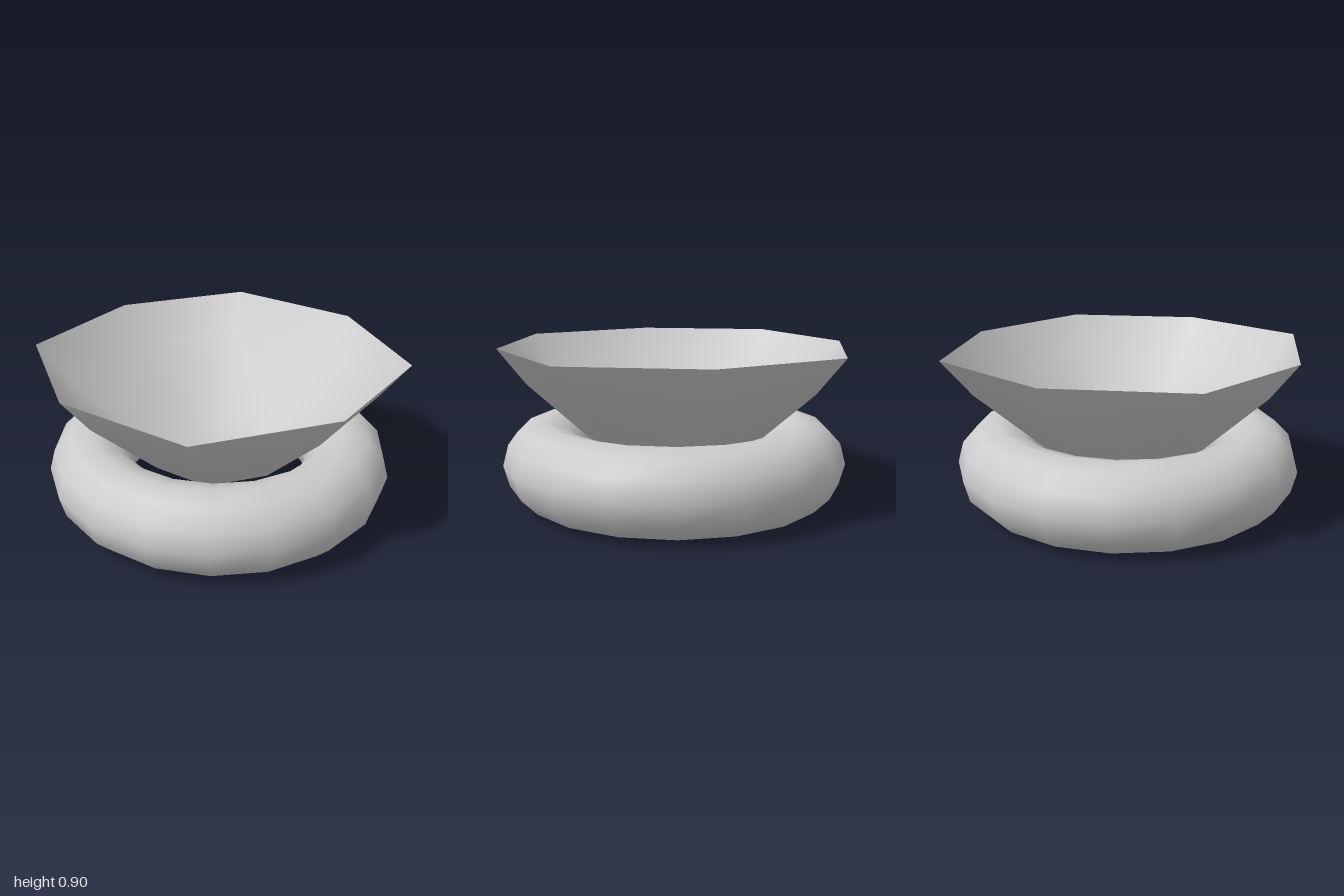
import * as THREE from 'three';

// Thin bowl: eight-sided rings above a single bottom point, corners on the diagonals pushed out
function bowlGeometry() {
  const sides = 8;
  const rings = [[0.44, 0.33], [0.84, 0.70], [1, 0.905]];
  const positions = [0, 0.19, 0];
  const index = [];
  for (const [r, y] of rings) {
    for (let i = 0; i < sides; i++) {
      const a = (i / sides) * Math.PI * 2;
      const k = i % 2 ? 0.75 * Math.SQRT2 : 1;
      positions.push(r * k * Math.cos(a), y, r * k * Math.sin(a));
    }
  }
  for (let i = 0; i < sides; i++) {
    const j = (i + 1) % sides;
    index.push(0, 1 + i, 1 + j);
    for (let k = 0; k < rings.length - 1; k++) {
      const a = 1 + k * sides + i, b = 1 + k * sides + j;
      const c = a + sides, d = b + sides;
      // alternate the diagonals so both halves mirror each other
      if (i % 2) index.push(a, c, b, b, c, d);
      else index.push(a, c, d, a, d, b);
    }
  }
  const geo = new THREE.BufferGeometry();
  geo.setAttribute('position', new THREE.Float32BufferAttribute(positions, 3));
  geo.setIndex(index);
  geo.computeVertexNormals();
  return geo;
}

export function createModel() {
  const group = new THREE.Group();

  // Ring base lying flat on the ground
  const ring = new THREE.Mesh(
    new THREE.TorusGeometry(0.747, 0.24, 12, 18).rotateX(Math.PI / 2).translate(0, 0.24, 0),
    new THREE.MeshStandardMaterial({ color: 0xcccccc })
  );
  ring.name = 'ringBase';

  // Bowl resting in the ring
  const bowl = new THREE.Mesh(
    bowlGeometry(),
    new THREE.MeshStandardMaterial({ color: 0xcccccc, side: THREE.DoubleSide })
  );
  bowl.name = 'bowl';

  group.add(ring, bowl);
  return group;
}
